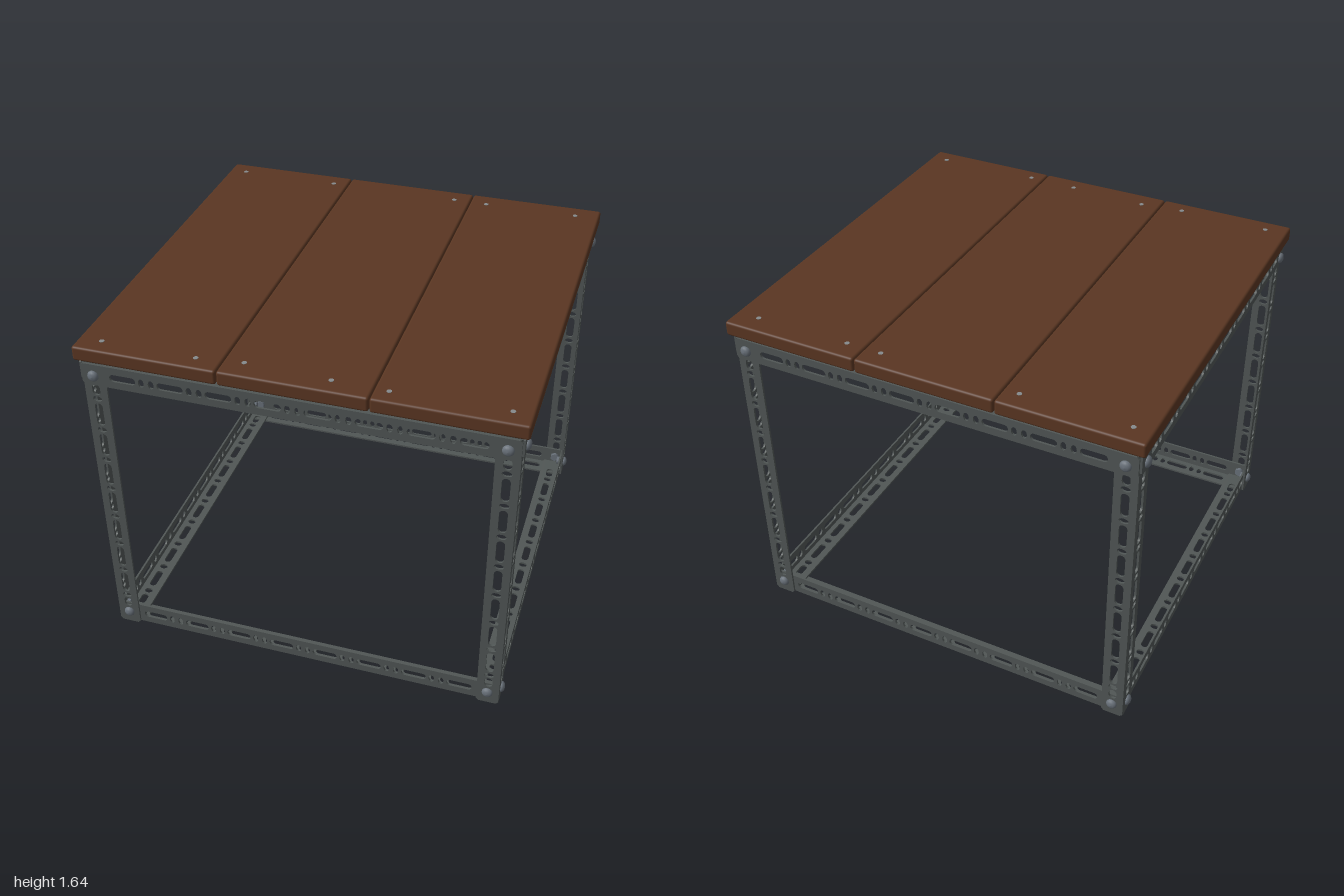
import * as THREE from 'three';
import { RoundedBoxGeometry } from 'three/addons/geometries/RoundedBoxGeometry.js';

const W = 0.107; // flange width
const T = 0.01; // sheet thickness

const mat = (name, color) => {
  const m = new THREE.MeshStandardMaterial({ color });
  m.name = name;
  return m;
};

// Stadium-shaped hole centred on x, running along the strip
function slotHole(x, length, height) {
  const r = height / 2, d = length / 2 - r, p = new THREE.Path();
  p.absarc(x + d, W / 2, r, -Math.PI / 2, Math.PI / 2, false);
  p.absarc(x - d, W / 2, r, Math.PI / 2, Math.PI * 1.5, false);
  p.closePath();
  return p;
}

function ovalHole(x, length, height) {
  const p = new THREE.Path();
  p.absellipse(x, W / 2, length / 2, height / 2, 0, Math.PI * 2, false, 0);
  return p;
}

// Perforated strip with clipped corners, outer face at z = 0
function stripGeometry(x0, x1, holes) {
  const c = 0.012, s = new THREE.Shape();
  s.moveTo(x0 + c, 0);
  s.lineTo(x1 - c, 0);
  s.lineTo(x1, c);
  s.lineTo(x1, W - c);
  s.lineTo(x1 - c, W);
  s.lineTo(x0 + c, W);
  s.lineTo(x0, W - c);
  s.lineTo(x0, c);
  s.holes.push(...holes);
  return new THREE.ExtrudeGeometry(s, { depth: T, bevelEnabled: false, curveSegments: 6 }).translate(0, 0, -T);
}

// L-section bar along x: one flange faces +z, the other lies at the bottom
function angleBar(name, x0, x1, holes, material) {
  const geo = stripGeometry(x0, x1, holes);
  const bar = new THREE.Group();
  bar.name = name;
  const face = new THREE.Mesh(geo, material);
  face.name = 'outerFlange';
  const flange = new THREE.Mesh(geo, material);
  flange.name = 'innerFlange';
  flange.rotation.x = -Math.PI / 2;
  flange.position.y = T;
  bar.add(face, flange);
  return bar;
}

// Hole patterns for the three bar directions
function frontHoles() {
  const h = [];
  for (let i = -4; i < 4; i++) h.push(slotHole((i + 0.5) * 0.222, 0.122, 0.036));
  for (let i = -3; i <= 3; i++) for (const s of [-1, 1]) h.push(ovalHole(i * 0.222 + s * 0.023, 0.027, 0.042));
  return h;
}

function sideHoles() {
  const h = [];
  for (let i = -4; i < 4; i++) h.push(slotHole((i + 0.5) * 0.188, 0.112, 0.036));
  for (let i = -4; i <= 4; i++) h.push(ovalHole(i * 0.188, 0.032, 0.042));
  for (const s of [-1, 1]) h.push(slotHole(s * 0.815, 0.07, 0.036));
  return h;
}

function legHoles() {
  const h = [];
  for (let i = 0; i < 7; i++) h.push(slotHole(0.265 + i * 0.17, 0.122, 0.038));
  for (let i = 0; i < 8; i++) h.push(ovalHole(0.18 + i * 0.17, 0.028, 0.045));
  h.push(slotHole(0.132, 0.055, 0.038), slotHole(1.418, 0.055, 0.038));
  return h;
}

export function createModel() {
  const model = new THREE.Group();
  const wood = mat('brown wood', 0x5a3622);
  const steel = mat('dark grey steel', 0x505655);
  const boltSteel = mat('bolt steel', 0x69717a);
  const screwSteel = mat('screw steel', 0x858a8c);

  // Tabletop planks
  for (let i = -1; i <= 1; i++) {
    const plank = new THREE.Mesh(new RoundedBoxGeometry(0.663, 0.07, 1.945, 3, 0.012), wood);
    plank.name = 'plank';
    plank.position.set(i * 0.6675, 1.605, -0.002);
    model.add(plank);
  }

  // Plank screws, set by hand
  const screws = [[-0.91, -0.887], [-0.41, -0.885], [0.25, -0.882], [0.42, -0.88], [0.88, -0.883],
    [-0.89, 0.89], [-0.45, 0.895], [-0.24, 0.87], [0.15, 0.888], [0.4, 0.895], [0.91, 0.887]];
  for (const [x, z] of screws) {
    const screw = new THREE.Mesh(new THREE.CylinderGeometry(0.012, 0.012, 0.006, 8), screwSteel);
    screw.name = 'plankScrew';
    screw.position.set(x, 1.6385, z);
    model.add(screw);
  }

  // Rails: bottom ones sit inside the legs, top ones outside with the flange up
  for (let k = 0; k < 4; k++) {
    const onSide = k % 2 === 1;
    const holes = onSide ? sideHoles() : frontHoles();
    const addRail = (name, half, y, out, flip) => {
      const rail = new THREE.Group();
      rail.name = name;
      const bar = angleBar('angleBar', -half, half, holes, steel);
      bar.position.set(0, y, out);
      if (flip) bar.rotation.z = Math.PI;
      rail.add(bar);
      rail.rotation.y = k * Math.PI / 2;
      model.add(rail);
    };
    const side = onSide ? 'side' : k === 0 ? 'front' : 'back';
    addRail(side + 'BottomRail', onSide ? 0.935 : 0.955, onSide ? 0.019 : 0.008, onSide ? 0.96 : 0.94, false);
    addRail(side + 'TopRail', onSide ? 0.95 : 0.97, onSide ? 1.568 : 1.557, onSide ? 0.98 : 0.96, true);
  }

  // Corner legs
  for (let k = 0; k < 4; k++) {
    const leg = new THREE.Group();
    leg.name = 'leg';
    const bar = angleBar('angleBar', 0, 1.546, legHoles(), steel);
    bar.rotation.z = Math.PI / 2;
    leg.add(bar);
    leg.rotation.y = k * Math.PI / 2;
    leg.position.set(k < 2 ? 0.97 : -0.97, 0, k === 0 || k === 3 ? 0.95 : -0.95);
    model.add(leg);
  }

  // Domed bolts with nuts, two heights on both faces of every corner
  const dome = [[0.026, 0], [0.026, 0.005], [0.022, 0.012], [0.013, 0.017], [0, 0.019]].map(([r, y]) => new THREE.Vector2(r, y));
  const headGeo = new THREE.LatheGeometry(dome, 16).rotateX(Math.PI / 2);
  const nutGeo = new THREE.CylinderGeometry(0.024, 0.024, 0.018, 6).rotateX(Math.PI / 2);
  for (let k = 0; k < 4; k++) for (const s of [-1, 1]) for (const top of [false, true]) {
    const onSide = k % 2 === 1;
    const out = (onSide ? 0.97 : 0.95) + (top ? 0.01 : 0);
    const bolt = new THREE.Group();
    bolt.name = 'cornerBolt';
    const head = new THREE.Mesh(headGeo, boltSteel);
    head.name = 'boltHead';
    const nut = new THREE.Mesh(nutGeo, boltSteel);
    nut.name = 'nut';
    nut.position.z = -0.029;
    bolt.add(head, nut);
    bolt.position.set(s * (onSide ? 0.897 : 0.915), top ? 1.5 : 0.067, out);
    const holder = new THREE.Group();
    holder.name = 'cornerBoltHolder';
    holder.rotation.y = k * Math.PI / 2;
    holder.add(bolt);
    model.add(holder);
  }

  return model;
}
